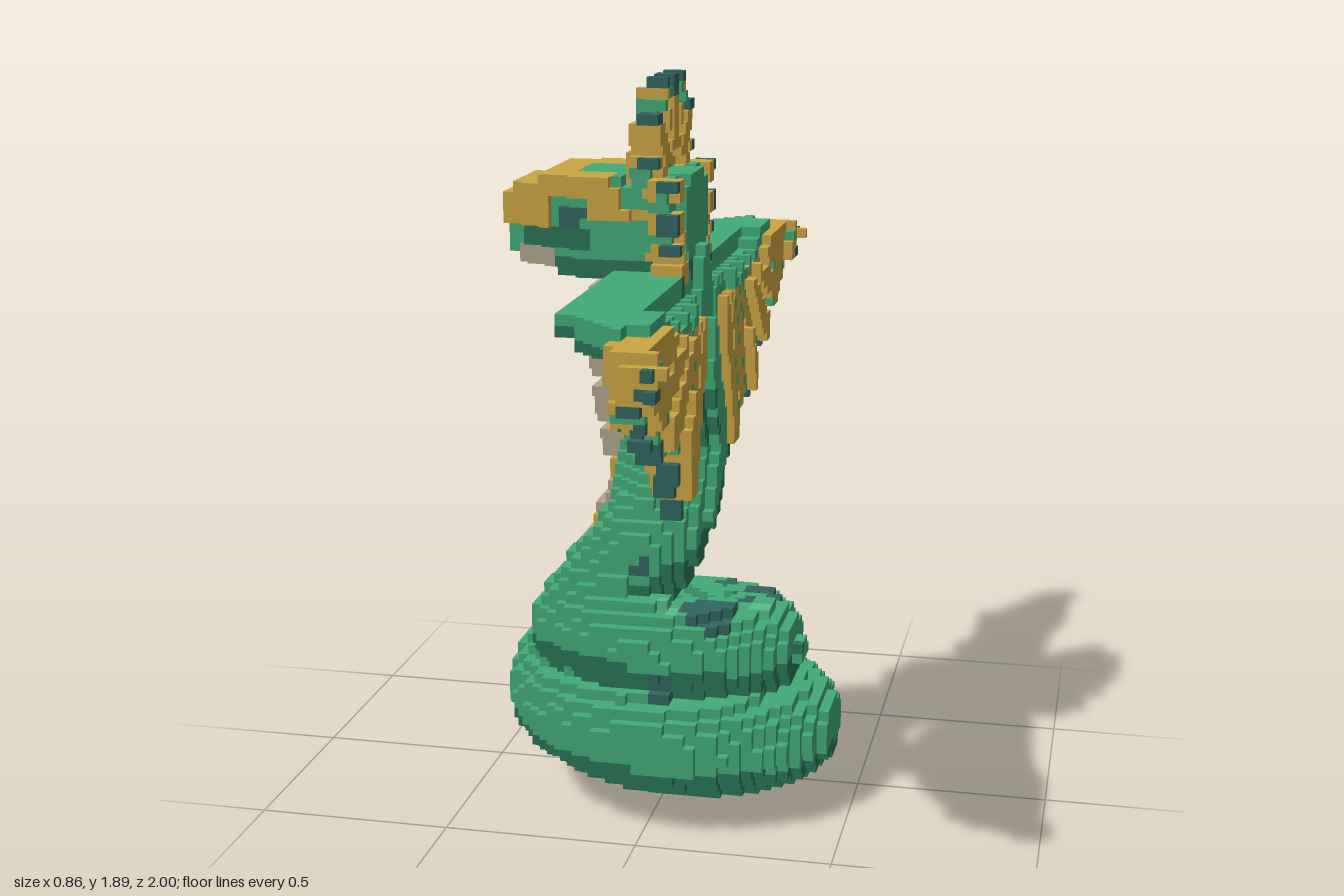
import * as THREE from 'three';

const V = 0.027; // voxel edge
const GREEN = 0, DARK = 1, GOLD = 2, TEAL = 3, BEIGE = 4, LIGHT = 5;
const PALETTE = [
  ['scale green', 0x42ab79], ['underside green', 0x2a7456], ['feather gold', 0xcda644],
  ['tip teal', 0x31655e], ['belly beige', 0xb1a78a], ['spot light green', 0x57be8a],
];

// Sparse voxel grid shared by all parts, so hidden faces can be dropped
class Grid {
  constructor() { this.cells = new Map(); }
  key(i, j, k) { return (i + 100) * 40000 + (j + 10) * 200 + k + 100; }
  has(i, j, k) { return this.cells.has(this.key(i, j, k)); }
  // rule(x, y, z, old, id) returns a colour index, or null to leave the cell alone
  fill(part, min, max, rule) {
    const lo = min.map(a => Math.floor(a / V)), hi = max.map(a => Math.floor(a / V));
    for (let i = lo[0]; i <= hi[0]; i++)
      for (let j = Math.max(0, lo[1]); j <= hi[1]; j++)
        for (let k = lo[2]; k <= hi[2]; k++) {
          const id = this.key(i, j, k);
          const c = rule((i + 0.5) * V, (j + 0.5) * V, (k + 0.5) * V, this.cells.get(id), id);
          if (c !== null) this.cells.set(id, { at: [i, j, k], c, part });
        }
  }
  mesh(part, materials) {
    const buckets = PALETTE.map(() => []), normals = PALETTE.map(() => []);
    for (const cell of this.cells.values()) {
      if (cell.part !== part) continue;
      for (let a = 0; a < 3; a++) for (const s of [1, -1]) {
        const n = [0, 0, 0];
        n[a] = s;
        if (this.has(cell.at[0] + n[0], cell.at[1] + n[1], cell.at[2] + n[2])) continue;
        const corner = (du, dv) => {
          const p = cell.at.slice();
          if (s > 0) p[a]++;
          p[(a + 1) % 3] += du;
          p[(a + 2) % 3] += dv;
          return p.map(q => q * V);
        };
        const q = [corner(0, 0), corner(1, 0), corner(1, 1), corner(0, 1)];
        if (s < 0) q.reverse();
        for (const m of [0, 1, 2, 0, 2, 3]) {
          buckets[cell.c].push(...q[m]);
          normals[cell.c].push(...n);
        }
      }
    }
    const geo = new THREE.BufferGeometry();
    geo.setAttribute('position', new THREE.Float32BufferAttribute(buckets.flat(), 3));
    geo.setAttribute('normal', new THREE.Float32BufferAttribute(normals.flat(), 3));
    let start = 0;
    buckets.forEach((b, c) => {
      if (b.length) geo.addGroup(start, b.length / 3, c);
      start += b.length / 3;
    });
    const mesh = new THREE.Mesh(geo, materials);
    mesh.name = part;
    return mesh;
  }
}

// Stamps balls along a path; each voxel is coloured from its nearest ball
function tube(grid, part, samples, colour) {
  const best = new Map();
  for (const { p, r } of samples) {
    grid.fill(part, [p.x - r, p.y - r, p.z - r], [p.x + r, p.y + r, p.z + r], (x, y, z, old, id) => {
      const d = Math.hypot(x - p.x, y - p.y, z - p.z) / r;
      if (d > 1 || d >= (best.get(id) ?? 2)) return null;
      best.set(id, d);
      return colour(x, y, z, (y - p.y) / r);
    });
  }
}

// Feather in the z-y plane: gold core that widens outward, thinner green rim, teal tip
function feather(grid, part, root, tip, { width, core, xAt, thick }) {
  const [az, ay] = root, dz = tip[0] - az, dy = tip[1] - ay, len2 = dz * dz + dy * dy;
  const min = [-0.25, Math.min(ay, tip[1]) - 0.08, Math.min(az, tip[0]) - 0.08];
  const max = [0.25, Math.max(ay, tip[1]) + 0.08, Math.max(az, tip[0]) + 0.08];
  grid.fill(part, min, max, (x, y, z, old) => {
    const t = Math.min(1, Math.max(0, ((z - az) * dz + (y - ay) * dy) / len2));
    const d = Math.hypot(z - az - dz * t, y - ay - dy * t);
    if (d > (t > 0.88 ? 0.018 : width * (0.75 + 0.35 * t))) return null;
    const gold = t > 0.05 && t <= 0.92 && d < core * Math.min(1, 0.45 + 0.9 * t);
    const off = Math.abs(x - xAt(t, Math.abs(z)));
    if (off > (t > 0.92 ? 0.024 : gold ? thick * (1 - 0.15 * t) : thick * 0.6)) return null;
    if (t > 0.93) return old ? null : TEAL;
    return gold ? GOLD : old ? null : GREEN;
  });
}

export function createModel() {
  const grid = new Grid();

  // Coiled body: a rising spiral that tightens on the second turn
  const spots = [
    [0.21, 0.5, -0.1, 0.065, TEAL], [0.13, 0.54, 0.2, 0.07, TEAL], [0.2, 0.51, 0.03, 0.03, TEAL],
    [0.12, 0.48, -0.2, 0.03, TEAL], [-0.2, 0.36, -0.24, 0.03, DARK], [-0.18, 0.38, 0.28, 0.03, DARK],
    [0.03, 0.35, 0.33, 0.04, TEAL], [-0.05, 0.64, 0.19, 0.025, TEAL], [0.3, 0.4, -0.2, 0.03, TEAL],
    [0.24, 0.51, 0.08, 0.03, LIGHT], [0.04, 0.55, 0.24, 0.03, LIGHT], [0.2, 0.49, -0.2, 0.03, LIGHT],
    [0.1, 0.46, -0.26, 0.035, DARK], [0.34, 0.42, 0.06, 0.03, DARK],
  ];
  const scales = (x, y, z, h) => {
    const s = spots.find(q => Math.hypot(x - q[0], (y - q[1]) * 0.7, z - q[2]) < q[3]);
    return s ? s[4] : h < (y > 0.33 ? -0.12 : -0.35) ? DARK : GREEN;
  };
  const coil = [];
  for (let deg = -72; deg <= 500; deg += 2) {
    const a = deg * Math.PI / 180;
    const k = THREE.MathUtils.smoothstep(deg, 180, 350);
    const R = 0.318 - 0.108 * k + 0.03 * THREE.MathUtils.smoothstep(deg, 440, 500);
    coil.push({
      p: new THREE.Vector3(R * Math.cos(a), 0.124 + 0.00058 * (deg + 72), R * Math.sin(a)),
      r: 0.125 + 0.006 * k,
    });
  }
  tube(grid, 'coiledBody', coil, scales);

  // Golden tail tip
  const tail = [];
  for (let t = 0; t <= 1; t += 0.1)
    tail.push({ p: new THREE.Vector3(0.235 - 0.06 * t, 0.1, -0.4 - 0.125 * t), r: 0.058 - 0.034 * t });
  tube(grid, 'tailTip', tail, () => GOLD);

  // Neck sways up out of the coil
  const neckCurve = new THREE.CatmullRomCurve3([
    [-0.215, 0.45, 0.13], [-0.15, 0.55, 0.1], [-0.06, 0.67, 0.075], [-0.035, 0.79, -0.03], [-0.03, 0.9, -0.095],
    [-0.03, 1.0, -0.06], [-0.03, 1.12, -0.005], [-0.04, 1.3, 0], [-0.07, 1.5, 0],
  ].map(p => new THREE.Vector3(...p)));
  const neck = neckCurve.getSpacedPoints(110).map((p, i) => ({ p, r: 0.142 - 0.014 * i / 110 }));
  tube(grid, 'neck', neck, scales);

  // Stepped belly plates on the throat side
  for (const { p } of neck) {
    if (p.y < 0.6 || p.y > 1.35) continue;
    const zc = p.z - Math.max(0, 1 - p.y) * 0.2;
    const row = Math.floor(p.y / V) % 5;
    const seam = row === 0;
    const front = p.x - (seam ? 0.14 : p.y < 0.88 ? 0.15 : 0.17);
    grid.fill('bellyPlates', [front, p.y, zc - 0.07], [p.x - 0.09, p.y, zc + 0.055],
      () => seam || (p.y < 0.88 && row === 1) ? GOLD : BEIGE);
  }

  // Head: wedge snout with golden brow ridge, eyes and lower jaw
  grid.fill('head', [-0.43, 1.36, -0.22], [0.045, 1.67, 0.22], (x, y, z) => {
    const az = Math.abs(z);
    const w = x < -0.1 ? 0.165 - 0.9 * (x + 0.1) ** 2 : 0.165 - (x + 0.1) * 0.25;
    const top = 1.66 - Math.max(0, -0.26 - x) * 0.4 - (x > -0.1 ? az * 0.35 : 0);
    if (x < -0.41 && y < 1.5) return y > 1.425 && az < 0.06 ? GREEN : null; // hooked snout
    if (Math.hypot(x + 0.24, (y - 1.545) * 1.2) < 0.04 && az > w - 0.06 && az < w + 0.01) return TEAL;
    const ridge = x < -0.05 && y > (x < -0.3 ? 1.52 : x < -0.19 ? 1.58 : 1.53);
    const browTop = top - Math.max(0, x + 0.2) * 0.4;
    if (ridge && y < browTop && az < w + 0.03 && (az > w - 0.08 || x < -0.25)) return GOLD;
    if (y > 1.47) return y < top && az < w ? (y < 1.5 && x < -0.2 && x > -0.38 ? DARK : GREEN) : null;
    if (y < 1.41) return x > -0.31 && y > 1.37 + Math.max(0, -0.2 - x) * 0.2 && az < w - 0.05 ? DARK : null;
    return az < w - 0.025 ? (x < -0.3 ? BEIGE : y < 1.44 ? DARK : GREEN) : null;
  });

  // Crest and cheek ruff: fan of feathers behind the head [angle, length, gold half-width]
  const fan = [[0, 0.285, 0.026], [19, 0.31, 0.008], [41, 0.285, 0.03], [60, 0.23, 0.012],
    [80, 0.245, 0.028], [101, 0.23, 0.026], [120, 0.235, 0.014], [140, 0.27, 0.03]];
  for (const [deg, len, core] of fan) for (const s of deg ? [1, -1] : [1]) {
    const a = deg * Math.PI / 180, sz = s * Math.sin(a), cy = Math.cos(a), crest = deg < 70;
    feather(grid, crest ? 'crest' : 'cheekRuff', [sz * 0.06, 1.58 + cy * 0.06], [sz * len, 1.58 + cy * len], {
      width: 0.038, core, thick: 0.045,
      xAt: t => crest ? -0.065 + 0.03 * t : -0.03 + 0.05 * t,
    });
  }

  // Wings: arm along the top and a fan of hanging feathers on each side
  const tips = [[0.99, 1.337], [0.945, 1.28], [0.885, 1.225], [0.825, 1.185], [0.755, 1.13], [0.67, 1.08],
    [0.575, 1.03], [0.48, 0.96], [0.395, 0.91], [0.31, 0.83], [0.24, 0.97], [0.17, 1.1]];
  for (const s of [1, -1]) {
    const name = s > 0 ? 'leftWing' : 'rightWing';
    grid.fill(name, [-0.13, 1.3, Math.min(s * 0.09, s * 0.81)], [0.03, 1.39, Math.max(s * 0.09, s * 0.81)],
      (x, y, z, old) => {
        const az = Math.abs(z);
        const front = -0.135 + Math.max(0, az - 0.68) * 1.2;
        const floor = 1.29 + 0.06 * az + Math.max(0, -0.06 - x) * 0.4;
        return !old && x > front && y > floor ? (y < floor + 0.025 ? DARK : GREEN) : null;
      });
    tips.forEach(([tz, ty], i) => {
      const u = Math.min(1, i / 9);
      feather(grid, name, [s * (0.64 - 0.5 * u), 1.355 - 0.05 * Math.min(1, i / 3)], [s * tz, ty], {
        width: 0.048, core: 0.037, thick: 0.058,
        xAt: (t, z) => 0.025 + 0.06 * z + Math.max(0, z - 0.88) * 0.6 + (i % 2) * 0.02,
      });
    });
  }

  // One mesh per part, sharing one material per colour
  const materials = PALETTE.map(([name, color]) => {
    const m = new THREE.MeshStandardMaterial({ color });
    m.name = name;
    return m;
  });
  const group = new THREE.Group();
  group.name = 'featheredSerpent';
  const parts = new Set([...grid.cells.values()].map(c => c.part));
  for (const part of parts) group.add(grid.mesh(part, materials));
  return group;
}
